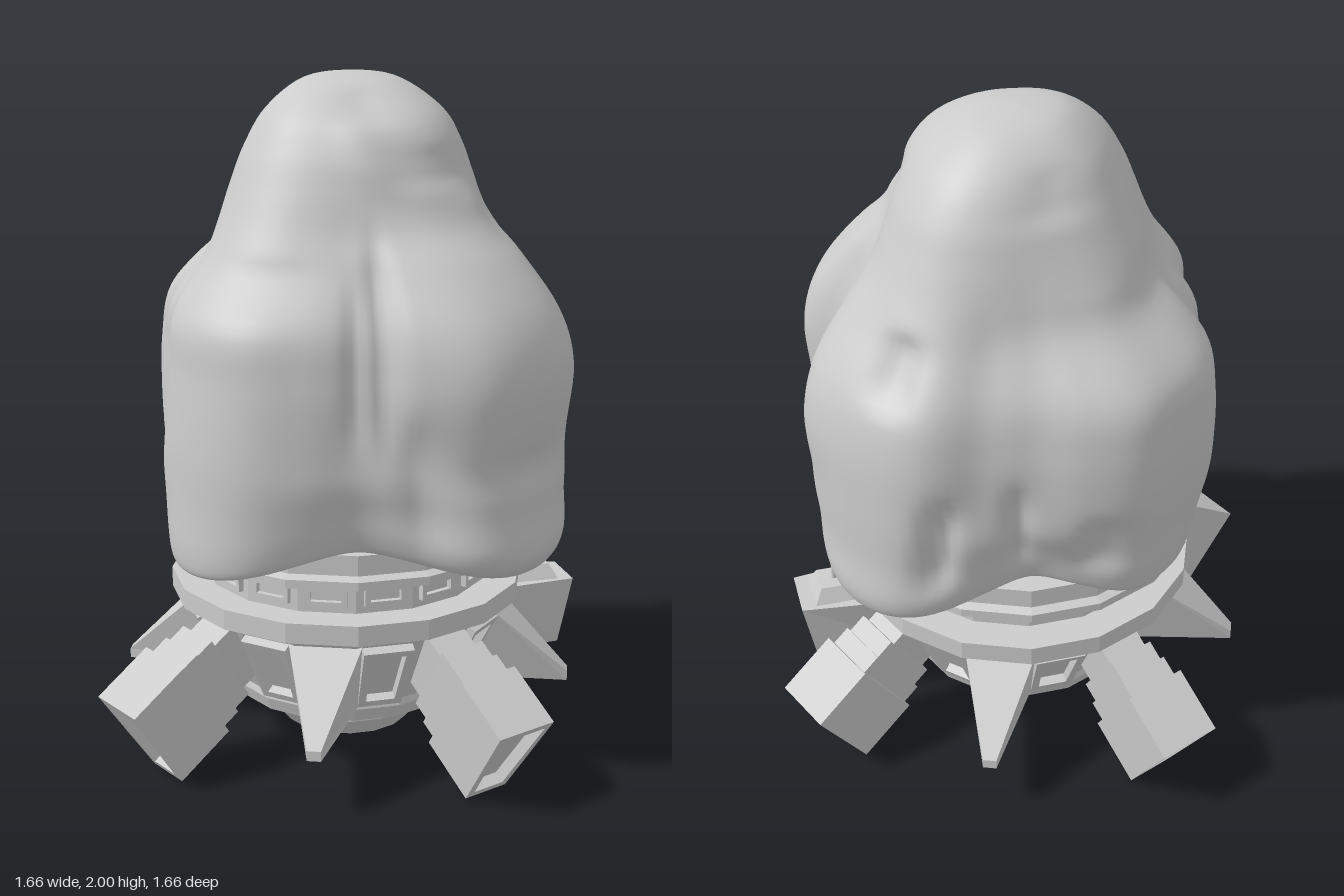
import * as THREE from 'three';

const smooth = new THREE.MeshStandardMaterial({ color: 0xcccccc, side: THREE.DoubleSide });
const flat = new THREE.MeshStandardMaterial({ color: 0xcccccc, flatShading: true });
const { smoothstep, lerp } = THREE.MathUtils;
const DEG = Math.PI / 180;
const SIDES = 16;

function add(parent, name, geometry, x = 0, y = 0, z = 0, material = flat) {
  const mesh = new THREE.Mesh(geometry, material);
  mesh.name = name;
  mesh.position.set(x, y, z);
  parent.add(mesh);
  return mesh;
}

// Group turned so that its local +z points outwards at the given angle from the front
function spoke(parent, name, degrees) {
  const g = new THREE.Group();
  g.name = name;
  g.rotation.y = degrees * DEG;
  parent.add(g);
  return g;
}

// Catmull-Rom through a list of numbers, open or cyclic
function spline(v, s, cyclic = false) {
  const n = v.length, i = Math.floor(s), t = s - i;
  const at = k => v[cyclic ? (k + n) % n : Math.min(Math.max(k, 0), n - 1)];
  const [a, b, c, d] = [at(i - 1), at(i), at(i + 1), at(i + 2)];
  return b + 0.5 * t * (c - a + t * (2 * a - 5 * b + 4 * c - d + t * (3 * (b - c) + d - a)));
}

// Trapezium shape, optionally with a hole that leaves a border
function trapezium(P, bottom, top, h) {
  const p = new P();
  p.moveTo(-bottom / 2, -h / 2); p.lineTo(bottom / 2, -h / 2);
  p.lineTo(top / 2, h / 2); p.lineTo(-top / 2, h / 2); p.closePath();
  return p;
}
function slab(bottom, top, h, depth, border = 0) {
  const shape = trapezium(THREE.Shape, bottom, top, h);
  if (border) shape.holes.push(trapezium(THREE.Path, bottom - 2 * border, top - 2 * border, h - 2 * border));
  return new THREE.ExtrudeGeometry(shape, { depth, bevelEnabled: false });
}

// Six-sided block from eight corners: four at the back, four at the front (counter-clockwise)
function blockGeometry(back, front) {
  const g = new THREE.BufferGeometry();
  g.setAttribute('position', new THREE.Float32BufferAttribute([...back, ...front].flat(), 3));
  const index = [4, 5, 6, 4, 6, 7, 0, 2, 1, 0, 3, 2];
  for (let i = 0; i < 4; i++) {
    const j = (i + 1) % 4;
    index.push(i, j, j + 4, i, j + 4, i + 4);
  }
  g.setIndex(index);
  const out = g.toNonIndexed();
  out.computeVertexNormals();
  return out;
}

// Widest outline every 15 degrees, and rising profiles for the four directions
const OUTLINE = [.70, .70, .66, .56, .645, .685, .69, .67, .59, .54, .575, .61,
  .60, .605, .575, .53, .545, .62, .655, .655, .61, .575, .62, .69];
const HEIGHT = [.76, .69, .68, .74, .85, 1.0, 1.2, 1.35, 1.5, 1.6, 1.7, 1.8, 1.9, 1.98, 2.0];
const PROFILES = [
  [.52, .64, .68, .71, .69, .68, .70, .66, .55, .45, .40, .36, .29, .15, 0],
  [.52, .63, .67, .69, .68, .68, .67, .63, .53, .47, .42, .37, .29, .16, 0],
  [.50, .53, .55, .565, .58, .60, .60, .57, .43, .38, .33, .28, .22, .12, 0],
  [.52, .62, .65, .66, .655, .65, .63, .61, .50, .44, .39, .34, .27, .15, 0],
];
const WIDEST = [.70, .69, .60, .655];
// Folds: angle, height, angular width, half height, amount, lean in degrees per unit of height
const FOLDS = [
  [37, 1.15, 5, .42, -.055, 0], [48, 1.05, 4, .35, -.03, 0], [68, 1.3, 10, .25, .02, 0],
  [-38, 1.3, 4, .25, -.04, 0], [-46, 1.25, 3, .2, -.025, 0], [-28, .92, 6, .18, -.03, -20],
  [0, 1.3, 20, .28, .01, 0], [0, .95, 18, .05, -.012, 0], [0, 1.76, 32, .05, -.012, 0],
  [95, 1.43, 7, .08, -.045, 0], [110, .92, 4, .15, -.045, 10], [120, 1.25, 8, .3, -.02, 0],
  [131, .95, 4, .14, -.03, 0], [157, .88, 8, .1, -.03, 0], [-143, 1.2, 5, .28, -.035, 0],
  [-130, 1.15, 6, .3, .02, 0], [-116, 1.15, 6, .17, -.04, 0], [-160, 1.55, 14, .07, -.015, 0],
  [-75, 1.45, 14, .07, -.015, 0], [30, 1.7, 12, .12, -.02, 60], [-40, 1.8, 12, .1, .015, -60],
  [-35, 1.92, 20, .04, -.02, 0], [150, 1.85, 20, .06, -.015, 0], [10, 1.62, 14, .06, .012, 0],
];

function shroudGeometry(cols = 160, rows = 84) {
  const pos = [], index = [];
  for (let i = 0; i <= rows; i++) {
    for (let j = 0; j < cols; j++) {
      const deg = j * 360 / cols, a = deg * DEG, s = i / rows * (HEIGHT.length - 1);
      const q = Math.floor(deg / 90), w = Math.sin((deg - q * 90) * DEG) ** 2;
      const mix = (f) => f(q) * (1 - w) + f((q + 1) % 4) * w;
      let y = spline(HEIGHT, s);
      const girth = lerp(spline(OUTLINE, deg / 15, true), mix(k => WIDEST[k]), smoothstep(y, 1.2, 1.85));
      let r = girth * mix(k => spline(PROFILES[k], s) / WIDEST[k]);
      // Between the four lobes the cloth draws in at the shoulder and the hem
      const between = Math.sin(2 * a) ** 2;
      r *= 1 - between * (.07 * smoothstep(y, 1.15, 1.6) + .09 * (1 - smoothstep(y, .68, .95)));
      // Wavy hem, lowest at the lobes
      y -= (0.04 * Math.cos(4 * a) + 0.005 * Math.cos(a) - .01) * (1 - smoothstep(y, .7, 1));
      for (const [fa, fy, fw, fh, amount, lean] of FOLDS) {
        const d = ((deg - fa - lean * (y - fy) + 540) % 360) - 180;
        r += amount * Math.exp(-((d / fw) ** 2) - ((y - fy) / fh) ** 4);
      }
      r = i === rows ? 0 : Math.max(r, 0.01);
      pos.push(r * Math.sin(a), y, r * Math.cos(a));
      if (i < rows) {
        const k = i * cols + j, n = i * cols + (j + 1) % cols;
        index.push(k, n, k + cols, n, n + cols, k + cols);
      }
    }
  }
  const g = new THREE.BufferGeometry();
  g.setAttribute('position', new THREE.Float32BufferAttribute(pos, 3));
  g.setIndex(index);
  g.computeVertexNormals();
  return g;
}

export function createModel() {
  const model = new THREE.Group();
  model.name = 'shroudedPod';
  add(model, 'shroud', shroudGeometry(), 0, 0, 0, smooth);

  // Faceted base: nozzle, lower steps, cone, ring, recessed band and upper rim
  const profile = [[0, .13], [.1, .12], [.16, .03], [.19, .03], [.24, .09], [.24, .105], [.27, .11],
    [.28, .14], [.34, .14], [.355, .18], [.35, .2], [.47, .43], [.495, .45], [.53, .45], [.53, .51],
    [.43, .51], [.43, .615], [.53, .615], [.53, .64], [.505, .65], [.505, .71], [0, .74]];
  add(model, 'base', new THREE.LatheGeometry(profile.map(p => new THREE.Vector2(...p)), SIDES));

  const windowFrame = slab(.12, .12, .06, .02, .015);
  const panelFrame = slab(.13, .15, .23, .035, .022);
  const footFrame = slab(.15, .2, .3, .2, .022);
  const footCore = slab(.14, .19, .29, .16);
  const spikeBlock = blockGeometry(
    [[-.09, .2, .33], [.09, .2, .33], [.11, .43, .44], [-.11, .43, .44]],
    [[-.02, .17, .68], [.02, .17, .68], [.02, .2, .68], [-.02, .2, .68]]);

  for (let k = 0; k < SIDES; k++) {
    const g = spoke(model, 'facet', 11.25 + k * 360 / SIDES);
    add(g, 'window', windowFrame, 0, .562, .418);
    const kind = k % 4;
    if (kind === 3) {
      // Stepped leg sloping down to an open-ended foot
      const leg = new THREE.Group();
      leg.name = 'leg';
      leg.position.set(0, .128, .74);
      leg.rotation.x = 34 * DEG;
      g.add(leg);
      add(leg, 'foot', footFrame, 0, 0, -.2);
      add(leg, 'footCore', footCore, 0, 0, -.195);
      [[.155, .27, .07, -.26], [.14, .25, .06, -.32], [.125, .2, .13, -.44]].forEach(
        ([w, h, d, z]) => add(leg, 'legSegment', slab(w - .03, w + .01, h, d), 0, 0, z));
    } else if (kind === 1) {
      add(g, 'spike', spikeBlock);
    } else {
      add(g, 'panel', panelFrame, 0, .318, .395).rotation.x = 27 * DEG;
    }
  }

  // Equipment pod with a mast
  const pod = spoke(model, 'equipmentPod', 56.25);
  add(pod, 'podBody', blockGeometry(
    [[-.08, .2, .36], [.08, .2, .36], [.11, .42, .44], [-.11, .42, .44]],
    [[-.065, .21, .67], [.065, .21, .67], [.08, .42, .71], [-.08, .42, .71]]));
  add(pod, 'podCap', new THREE.CylinderGeometry(.065, .1, .045, 4).rotateY(Math.PI / 4), 0, .442, .595);
  add(pod, 'mast', new THREE.CylinderGeometry(.007, .007, .18, 8), 0, .54, .595);
  add(pod, 'mastTip', new THREE.CylinderGeometry(.024, .02, .034, 8), 0, .63, .595);

  return model;
}
